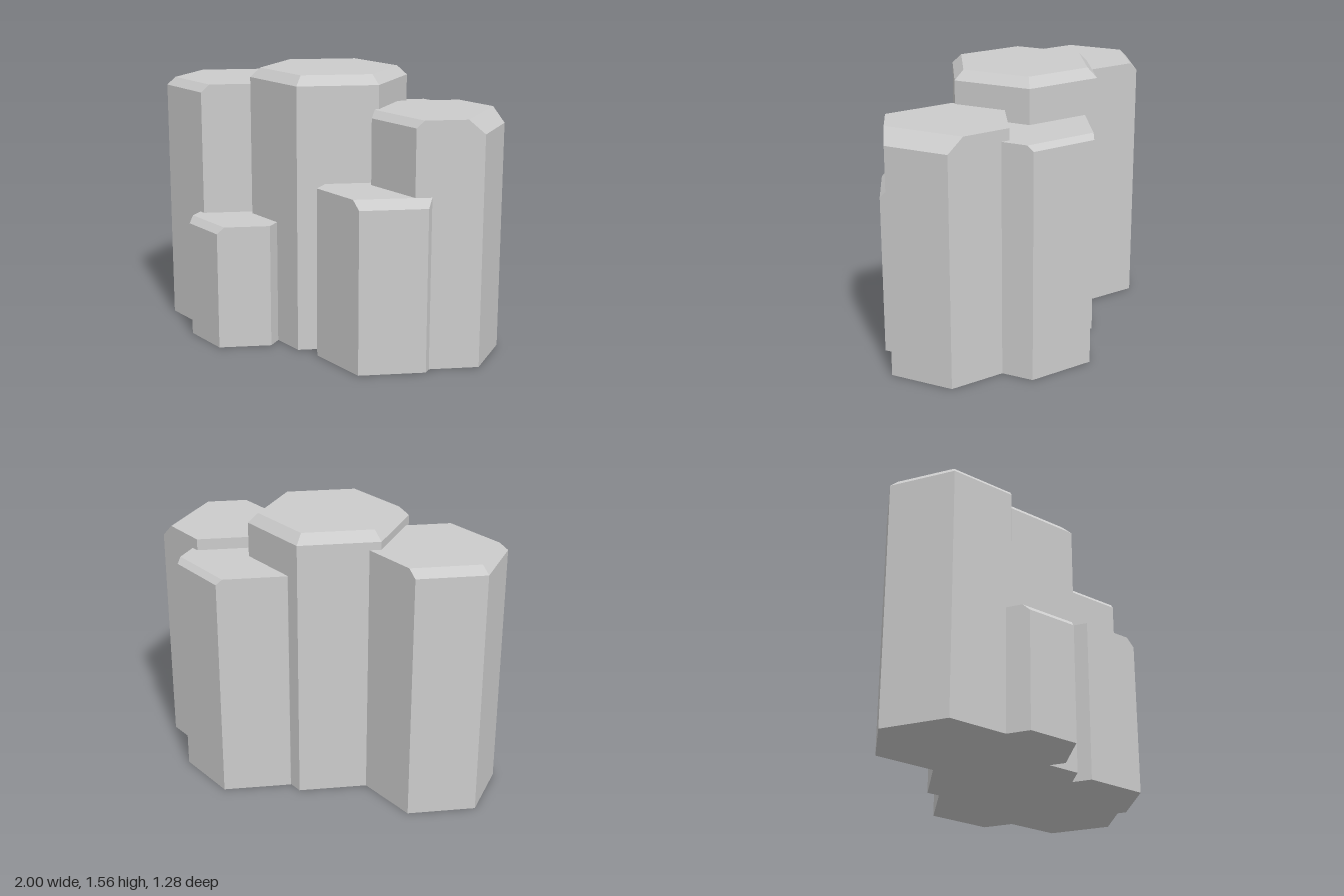
import * as THREE from 'three';

const material = new THREE.MeshStandardMaterial({ color: 0xcccccc, flatShading: true });

// Corner where two neighbouring hexagon sides meet, given each side's distance from the axis
function corner(i, a, b) {
  const t0 = (i * Math.PI) / 3, t1 = ((i + 1) * Math.PI) / 3;
  const u = (4 * a - 2 * b) / 3, v = (4 * b - 2 * a) / 3;
  return [u * Math.cos(t0) + v * Math.cos(t1), u * Math.sin(t0) + v * Math.sin(t1)];
}

// Hexagonal prism with chosen top edges chamfered. bevels: side index -> [inset, drop]
// Sides: 0 left (+x), 1 front left, 2 front right, 3 right (-x), 4 back right, 5 back left
function hexColumn(apothem, height, bevels) {
  const inset = (i) => (bevels[i % 6] || [0, 0])[0];
  const drop = (i) => (bevels[i % 6] || [0, 0])[1];
  const rings = [[], [], []]; // base, shoulder, top
  for (let i = 0; i < 6; i++) {
    const [x, z] = corner(i, apothem, apothem);
    const [tx, tz] = corner(i, apothem - inset(i), apothem - inset(i + 1));
    rings[0].push(new THREE.Vector3(x, 0, z));
    rings[1].push(new THREE.Vector3(x, height - Math.max(drop(i), drop(i + 1)), z));
    rings[2].push(new THREE.Vector3(tx, height, tz));
  }

  const points = [];
  const tri = (a, b, c) => {
    const area = b.clone().sub(a).cross(c.clone().sub(a)).length();
    if (area > 1e-7) points.push(a, b, c);
  };
  for (let i = 0; i < 6; i++) {
    const j = (i + 1) % 6;
    // Wall, then chamfer
    for (let r = 0; r < 2; r++) {
      const lo = rings[r], hi = rings[r + 1];
      tri(lo[j], lo[i], hi[i]);
      tri(lo[j], hi[i], hi[j]);
    }
    // Caps as fans
    if (i > 0 && i < 5) {
      tri(rings[2][0], rings[2][j], rings[2][i]);
      tri(rings[0][0], rings[0][i], rings[0][j]);
    }
  }
  const geometry = new THREE.BufferGeometry().setFromPoints(points);
  geometry.computeVertexNormals();
  return geometry;
}

export function createModel() {
  const group = new THREE.Group();
  group.name = 'basaltColumns';

  const all = [0.05, 0.053], edge = [0.042, 0.045];
  const columns = [
    { name: 'centerColumn', x: -0.015, z: -0.035, apothem: 0.39, height: 1.558,
      bevels: { 0: all, 1: all, 2: all, 3: all, 4: all, 5: all } },
    { name: 'rightColumn', x: -0.667, z: -0.09, apothem: 0.333, height: 1.46,
      bevels: { 2: edge, 3: edge, 4: edge } },
    { name: 'leftColumn', x: 0.681, z: 0.078, apothem: 0.319, height: 1.373,
      bevels: { 0: [0.08, 0.08], 2: [0.038, 0.04] } },
    { name: 'backLeftColumn', x: 0.39, z: -0.255, apothem: 0.333, height: 1.308,
      bevels: { 5: [0.03, 0.03] } },
    { name: 'frontLeftColumn', x: 0.44, z: 0.267, apothem: 0.32, height: 0.963,
      bevels: { 1: [0.045, 0.05] } },
    { name: 'frontRightColumn', x: -0.443, z: 0.26, apothem: 0.257, height: 0.708,
      bevels: { 2: [0.036, 0.038] } },
  ];

  for (const c of columns) {
    const mesh = new THREE.Mesh(hexColumn(c.apothem, c.height, c.bevels), material);
    mesh.name = c.name;
    mesh.position.set(c.x, 0, c.z);
    group.add(mesh);
  }
  return group;
}
